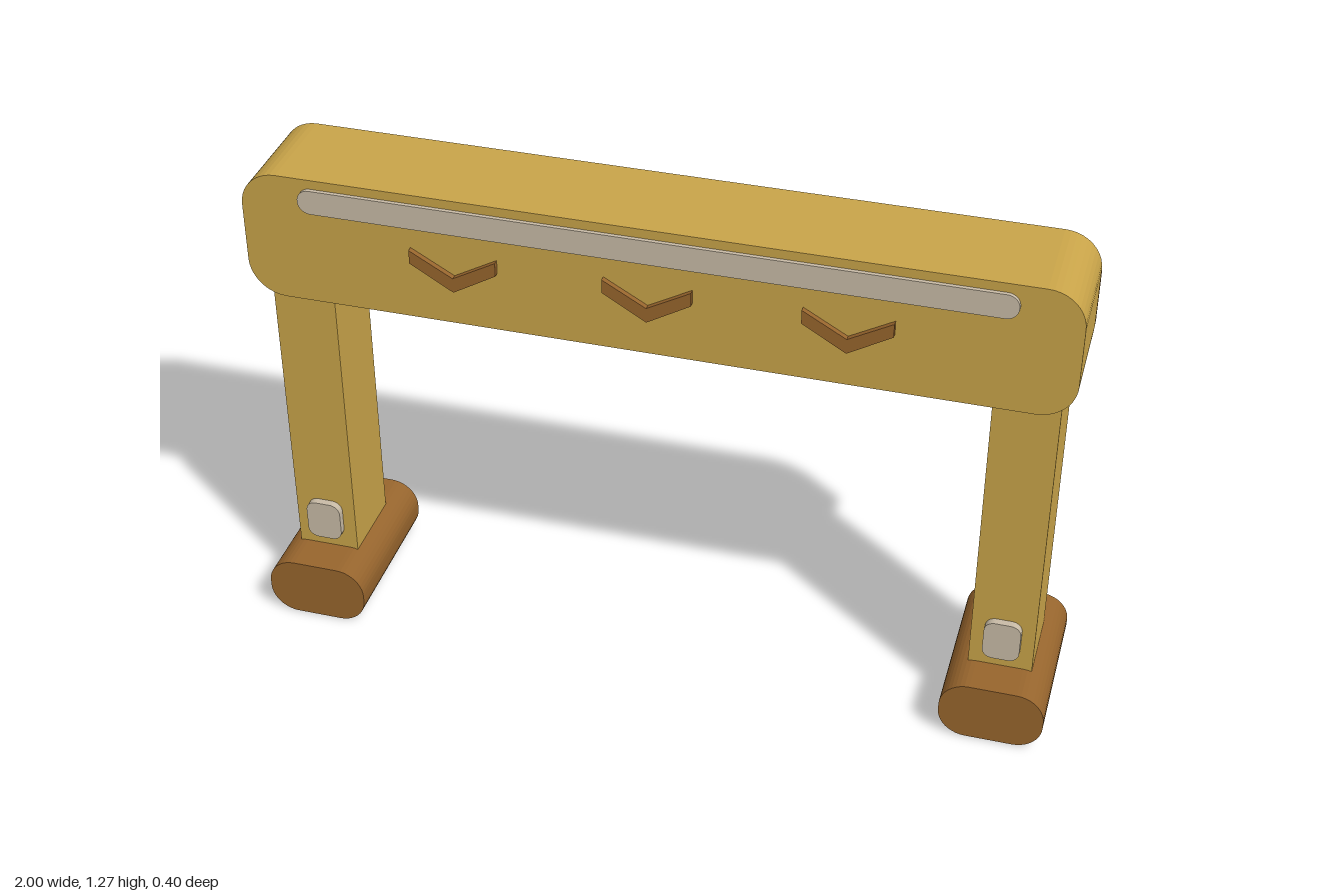
import * as THREE from 'three';

const material = (name, color) => {
  const m = new THREE.MeshStandardMaterial({ color });
  m.name = name;
  return m;
};

// Rounded rectangle centred on the origin
function roundedRect(w, h, r) {
  const x = w / 2, y = h / 2;
  const s = new THREE.Shape();
  s.moveTo(-x + r, -y);
  s.lineTo(x - r, -y);
  s.absarc(x - r, -y + r, r, -Math.PI / 2, 0);
  s.lineTo(x, y - r);
  s.absarc(x - r, y - r, r, 0, Math.PI / 2);
  s.lineTo(-x + r, y);
  s.absarc(-x + r, y - r, r, Math.PI / 2, Math.PI);
  s.lineTo(-x, -y + r);
  s.absarc(-x + r, -y + r, r, Math.PI, Math.PI * 1.5);
  return s;
}

export function createModel() {
  const model = new THREE.Group();
  model.name = 'barrierArch';
  const gold = material('gold', 0xc9a449);
  const brown = material('brown', 0x97652d);
  const pale = material('paleGrey', 0xc8bba6);

  // Extrudes a shape from z0 to z1 at the given centre
  const slab = (name, shape, mat, x, y, z0, z1) => {
    const geo = new THREE.ExtrudeGeometry(shape, { depth: z1 - z0, bevelEnabled: false, curveSegments: 5 });
    const mesh = new THREE.Mesh(geo, mat);
    mesh.name = name;
    mesh.position.set(x, y, z0);
    model.add(mesh);
  };

  // Crossbeam with the backing that shows behind and beneath it
  slab('beam', roundedRect(1.97, 0.33, 0.09), gold, 0, 1.105, -0.112, 0.145);
  slab('beamBacking', roundedRect(1.968, 0.31, 0.09), brown, 0, 1.09, -0.14, 0.108);
  slab('frontStrip', roundedRect(1.68, 0.062, 0.03), pale, 0, 1.216, 0.14, 0.155);

  // Downward chevrons on the beam
  const chevron = new THREE.Shape([
    [-0.105, 0.05], [-0.105, 0.015], [0, -0.047], [0.105, 0.015], [0.105, 0.05], [0, -0.009],
  ].map(([x, y]) => new THREE.Vector2(x, y)));
  for (const x of [-0.465, 0, 0.465]) slab('chevron', chevron, brown, x, 1.08, 0.14, 0.159);

  // Legs, feet and front pads, mirrored
  for (const side of [-1, 1]) {
    const x = side * 0.872;
    const leg = new THREE.Mesh(new THREE.BoxGeometry(0.156, 0.87, 0.2), gold);
    leg.name = 'leg';
    leg.position.set(x, 0.535, 0);
    model.add(leg);
    slab('foot', roundedRect(0.255, 0.157, 0.07), brown, x, 0.0785, -0.2, 0.2);
    slab('legPad', roundedRect(0.09, 0.108, 0.026), pale, x, 0.245, 0.095, 0.119);
  }
  return model;
}
